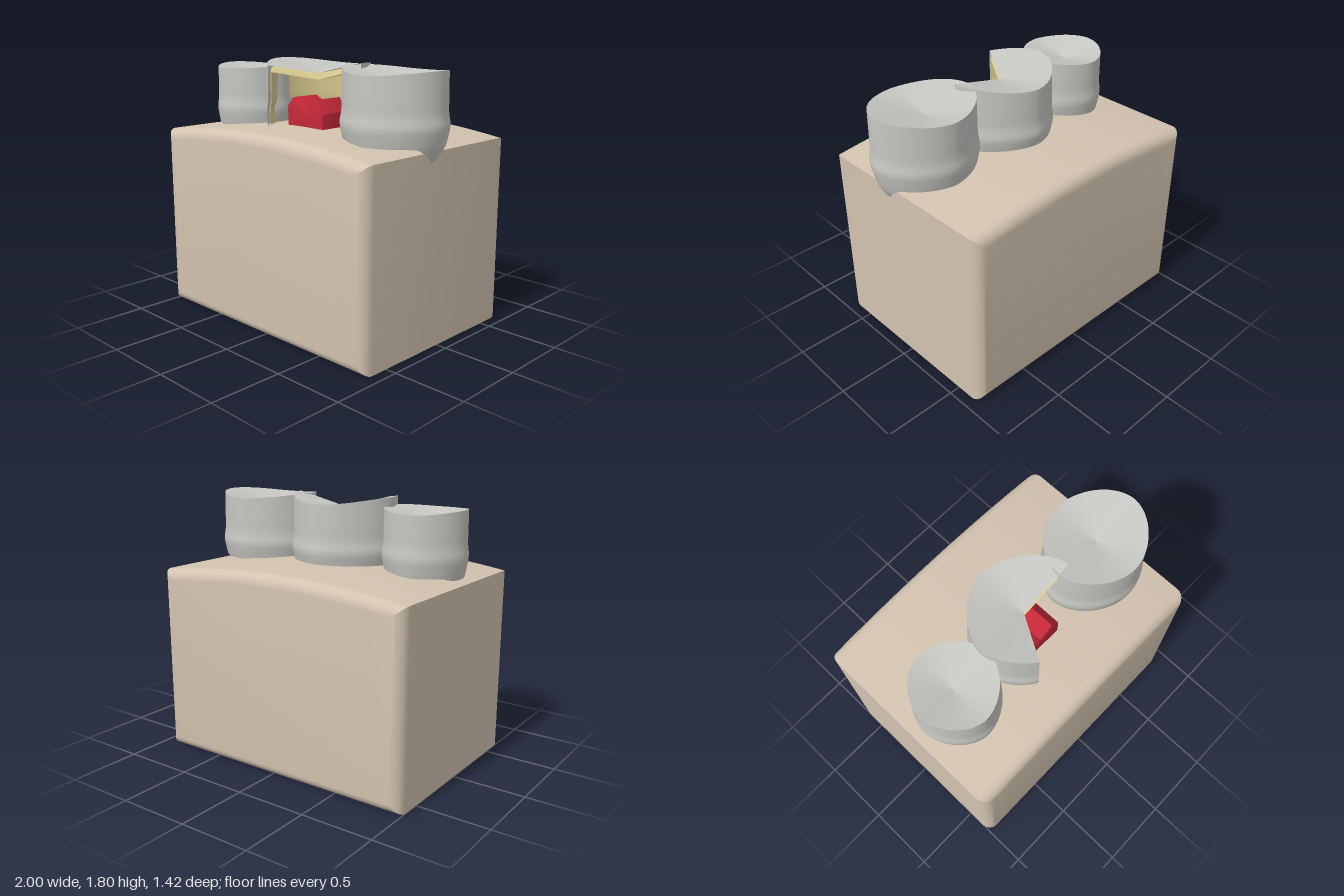
import * as THREE from 'three';
import { toCreasedNormals } from 'three/addons/utils/BufferGeometryUtils.js';
import { ParametricGeometry } from 'three/addons/geometries/ParametricGeometry.js';

const mat = (name, color, side = THREE.FrontSide) => {
  const m = new THREE.MeshStandardMaterial({ color, side });
  m.name = name;
  return m;
};

// Extrude an outline along z between two depths, with bevelled ends kept inside the outline
function block(name, shape, z0, z1, bevel, segments, material) {
  const geo = new THREE.ExtrudeGeometry(shape, {
    depth: z1 - z0 - 2 * bevel, bevelEnabled: true, bevelSize: bevel, bevelThickness: bevel,
    bevelOffset: -bevel, bevelSegments: segments, curveSegments: 16,
  });
  geo.translate(0, 0, z0 + bevel);
  const mesh = new THREE.Mesh(toCreasedNormals(geo, 0.5), material);
  mesh.name = name;
  return mesh;
}

// Thin crown shell: a bulging wall with a scalloped foot, and a dished cap
function shell(name, c, inset, drop, material) {
  const group = new THREE.Group();
  group.name = name;
  const outline = (t) => {
    const rx = Math.cos(t) > 0 ? c.rxPlus : c.rxMinus;
    const sum = Math.abs(Math.cos(t) / rx) ** c.power + Math.abs(Math.sin(t) / c.rz) ** c.power;
    return sum ** (-1 / c.power) - inset;
  };
  const rim = (t) => c.top - drop + c.wave * Math.cos(2 * t);
  const foot = (t) => 1.325 - 0.1 * Math.exp(-((outline(t) * Math.sin(t) / 0.085) ** 2));
  const bulge = (y) => 0.965 + 0.035 * Math.exp(-(((y - 1.44) / 0.055) ** 2))
    - 5 * Math.max(0, 1.4 - y) ** 2 - 0.05 * Math.max(0, y - 1.6);
  const place = (t, r, y, p) => p.set(c.x + r * Math.cos(t), y, c.z - r * Math.sin(t));

  const wall = new ParametricGeometry((u, v, p) => {
    const t = u * c.sweep;
    const y = THREE.MathUtils.lerp(foot(t), rim(t), v);
    place(t, outline(t) * bulge(y), y, p);
  }, 96, 24);
  const cap = new ParametricGeometry((u, v, p) => {
    const t = u * c.sweep;
    const y = rim(t);
    place(t, outline(t) * bulge(y) * (1 - v), THREE.MathUtils.lerp(y, c.dish - drop, v), p);
  }, 96, 8);
  cap.computeVertexNormals();

  for (const [part, geo] of [['wall', wall], ['cap', cap]]) {
    const mesh = new THREE.Mesh(geo, material);
    mesh.name = part;
    group.add(mesh);
  }
  return group;
}

export function createModel() {
  const model = new THREE.Group();
  model.name = 'crownModel';
  const stone = mat('beige base', 0xd3c3b0);
  const metal = mat('grey crown', 0xc6c6c2, THREE.DoubleSide);
  const lining = mat('yellow lining', 0xd6c88e, THREE.DoubleSide);
  const red = mat('red core', 0xc42838);

  // Base block with an arched top
  const arch = new THREE.Shape();
  arch.moveTo(-1, 0);
  arch.lineTo(0.925, 0);
  arch.lineTo(0.925, 1.29);
  arch.quadraticCurveTo(-0.04, 1.43, -1, 1.29);
  arch.closePath();
  model.add(block('base', arch, -0.71, 0.71, 0.08, 6, stone));

  // Twin-peaked core under the cut-away crown
  const peaks = new THREE.Shape([
    [-0.2, 1.3], [0.14, 1.3], [0.14, 1.46], [0.07, 1.55], [-0.03, 1.48], [-0.15, 1.55], [-0.2, 1.49],
  ].map(([x, y]) => new THREE.Vector2(x, y)));
  model.add(block('core', peaks, 0.02, 0.26, 0.012, 2, red));

  // Three crowns; the middle one has a sector cut away at the front
  const full = Math.PI * 2;
  const crowns = {
    rightCrown: { x: -0.67, z: 0.14, rxPlus: 0.31, rxMinus: 0.275, rz: 0.295, power: 1.8, top: 1.733, wave: 0.01, dish: 1.67, sweep: full },
    middleCrown: { x: -0.04, z: 0.12, rxPlus: 0.41, rxMinus: 0.39, rz: 0.375, power: 1.7, top: 1.778, wave: 0.02, dish: 1.71, sweep: 4.17 },
    leftCrown: { x: 0.63, z: 0.105, rxPlus: 0.368, rxMinus: 0.385, rz: 0.335, power: 1.8, top: 1.77, wave: 0.015, dish: 1.7, sweep: full },
  };
  for (const [name, c] of Object.entries(crowns)) {
    const crown = new THREE.Group();
    crown.name = name;
    crown.add(shell('outerShell', c, 0, 0, metal), shell('innerLining', c, 0.025, 0.045, lining));
    model.add(crown);
  }
  return model;
}
